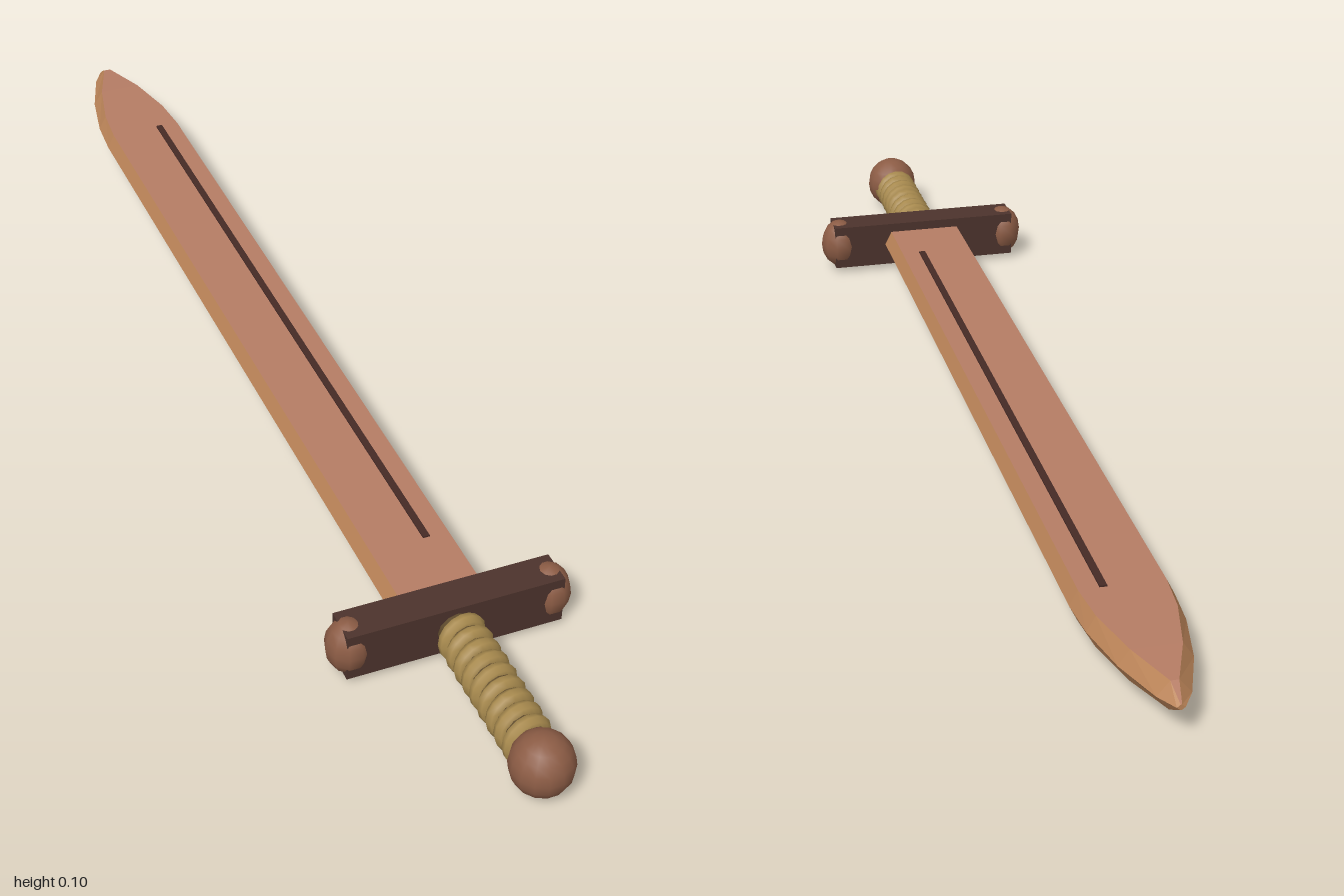
import * as THREE from 'three';

const mat = (name, color, extra = {}) => {
  const m = new THREE.MeshStandardMaterial({ color, ...extra });
  m.name = name;
  return m;
};

const CY = 0.052; // height of the sword's long axis

export function createModel() {
  const root = new THREE.Group();
  root.name = 'sword';

  const bladeWood = mat('blade wood', 0xb57c64, { flatShading: true });
  const edgeWood = mat('edge wood', 0xbb8458, { flatShading: true });
  const darkWood = mat('dark wood', 0x4c332c);
  const grooveWood = mat('groove wood', 0x452a25);
  const knobWood = mat('knob wood', 0x8c5c45);
  const cord = mat('cord', 0xa88a4e);
  const core = mat('grip core', 0x5e4a2c);

  const add = (name, geo, material, x = 0, y = CY, z = 0, parent = root) => {
    const m = new THREE.Mesh(geo, material);
    m.name = name;
    m.position.set(x, y, z);
    parent.add(m);
    return m;
  };

  // Blade: six-sided sections [z, half width, half flat, half height]
  const sections = [
    [0.64, 0.075, 0.063, 0.024],
    [-0.73, 0.075, 0.063, 0.024],
    [-0.80, 0.07, 0.057, 0.024],
    [-0.89, 0.052, 0.036, 0.024],
    [-0.97, 0.024, 0.006, 0.022],
    [-1.0, 0.006, 0.001, 0.004],
  ];
  const ring = ([z, w, f, h]) =>
    [[w, 0], [f, h], [-f, h], [-w, 0], [-f, -h], [f, -h]].map(([x, y]) => [x, y, z]);
  const rings = sections.map(ring);
  const flats = [];
  const bevels = [];
  for (let s = 0; s < rings.length - 1; s++) {
    const a = rings[s], b = rings[s + 1];
    for (let i = 0; i < 6; i++) {
      const j = (i + 1) % 6;
      const out = i % 3 === 1 ? flats : bevels;
      out.push(...a[i], ...b[i], ...a[j], ...a[j], ...b[i], ...b[j]);
    }
  }
  // Close the tip and the shoulder
  const tip = rings[rings.length - 1], base = rings[0];
  for (let i = 1; i < 5; i++) {
    bevels.push(...tip[0], ...tip[i + 1], ...tip[i]);
    flats.push(...base[0], ...base[i], ...base[i + 1]);
  }
  const facets = (list) => {
    const g = new THREE.BufferGeometry();
    g.setAttribute('position', new THREE.Float32BufferAttribute(list, 3));
    g.computeVertexNormals();
    return g;
  };
  const blade = new THREE.Group();
  blade.name = 'blade';
  root.add(blade);
  add('bladeFaces', facets(flats), bladeWood, 0, CY, 0, blade);
  add('bladeEdges', facets(bevels), edgeWood, 0, CY, 0, blade);

  // Dark groove line on both faces
  for (const side of [1, -1]) {
    add('grooveLine', new THREE.BoxGeometry(0.011, 0.004, 1.24), grooveWood,
      0.027, CY + side * 0.0245, -0.11, blade);
  }

  // Cross guard with a rounded knob at each end
  add('crossGuard', new THREE.BoxGeometry(0.34, 0.08, 0.056), darkWood, 0, CY, 0.652);
  for (const side of [1, -1]) {
    const knob = add('guardKnob', new THREE.SphereGeometry(1, 10, 8), knobWood,
      side * 0.158, CY, 0.652);
    knob.scale.set(0.034, 0.045, 0.036);
  }

  // Grip core wrapped in a spiral cord
  const grip = new THREE.CylinderGeometry(0.03, 0.03, 0.27, 12);
  grip.rotateX(Math.PI / 2);
  add('gripCore', grip, core, 0, CY, 0.8);
  const turns = 9, points = [];
  for (let i = 0; i <= turns * 12; i++) {
    const t = i / 12, a = t * Math.PI * 2;
    points.push(new THREE.Vector3(
      Math.cos(a) * 0.027, Math.sin(a) * 0.027, 0.69 + (t / turns) * 0.235));
  }
  const helix = new THREE.CatmullRomCurve3(points);
  add('gripCord', new THREE.TubeGeometry(helix, turns * 16, 0.0125, 8), cord);

  // Round pommel
  const pommel = add('pommel', new THREE.SphereGeometry(1, 14, 10), knobWood, 0, CY, 0.953);
  pommel.scale.set(0.047, 0.049, 0.047);

  return root;
}
